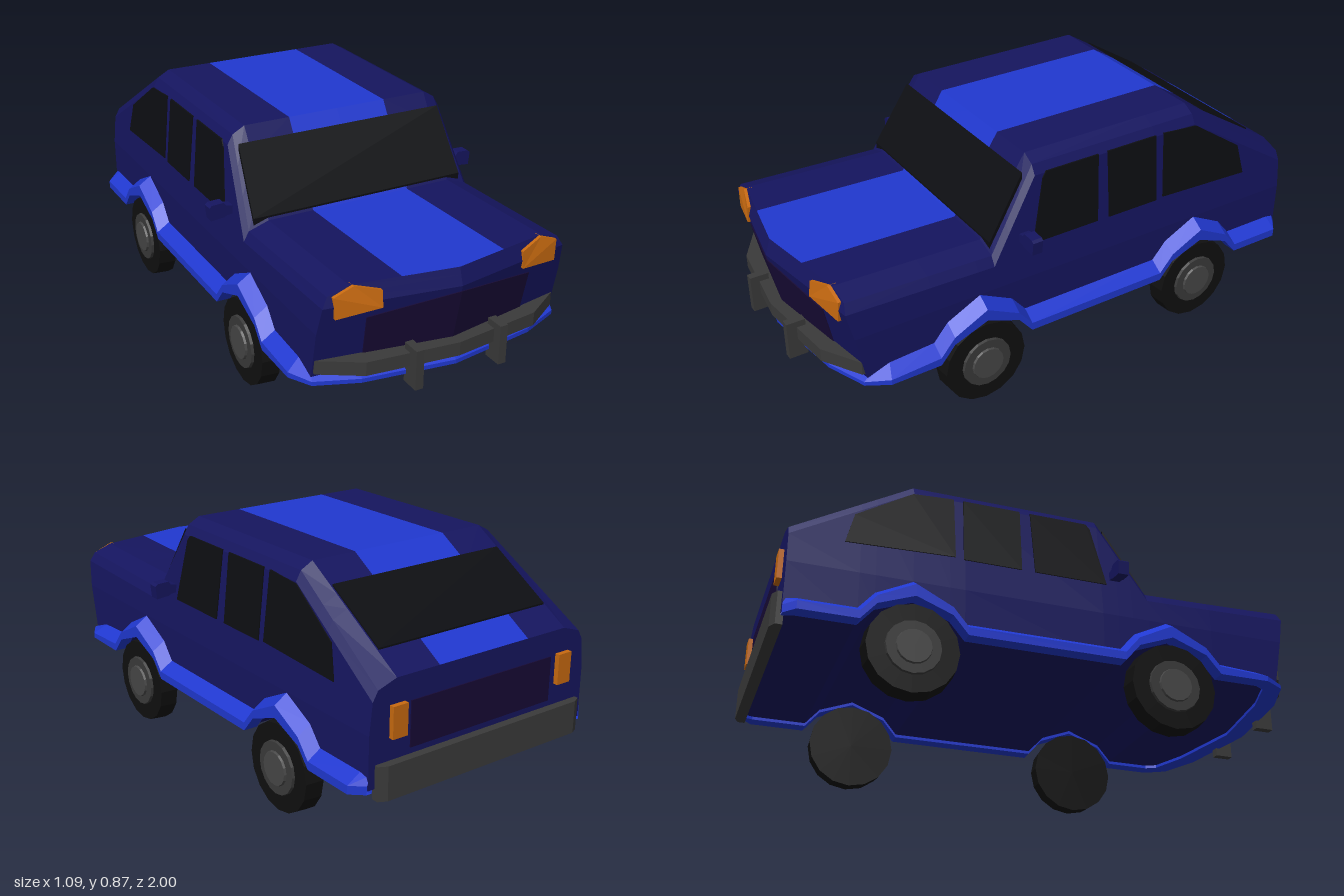
import * as THREE from 'three';

const mat = (color, side = THREE.FrontSide) =>
  new THREE.MeshStandardMaterial({ color, flatShading: true, side });

// Piecewise-linear lookup through [z, value] points sorted from front to back
function along(points, z) {
  if (z >= points[0][0]) return points[0][1];
  for (let i = 1; i < points.length; i++) {
    const [z0, v0] = points[i - 1], [z1, v1] = points[i];
    if (z >= z1) return v0 + (v1 - v0) * (z - z0) / (z1 - z0);
  }
  return points[points.length - 1][1];
}

const WHEELS = [0.405, -0.54];
const REAR = -0.97;
const topLine = [[0.93, 0.59], [0.34, 0.575], [0.16, 0.865], [-0.54, 0.865], [REAR, 0.6]];
// Wheel arch: offset from the axle, lower edge, upper edge of the flare
const arch = [[0.185, 0.235, 0.3], [0.13, 0.3, 0.365], [0, 0.35, 0.43], [-0.13, 0.3, 0.365], [-0.185, 0.235, 0.3]];
const arches = WHEELS.flatMap(z => arch.map(([dz, b, t]) => [z + dz, b, t]));
const bottomLine = arches.map(([z, b]) => [z, b + 0.012]);
const roofY = z => along(topLine, z);
const wallX = y => (y < 0.43 ? 0.475 : 0.475 - (y - 0.43) * 0.105);
// Pointed, raked nose
const noseZ = (x, y) => 0.98 - 0.17 * Math.abs(x) - (y > 0.53 ? 0.33 * (y - 0.53) : 0.2 * (0.53 - y));

function triangles(list) {
  const g = new THREE.BufferGeometry();
  g.setAttribute('position', new THREE.Float32BufferAttribute(list.flat(), 3));
  g.computeVertexNormals();
  return g;
}

// Joins neighbouring sections with quads
function loft(sections, from, to) {
  const out = [];
  for (let j = 0; j + 1 < sections.length; j++)
    for (let i = from; i < to; i++) {
      const n = sections[j].length, k = (i + 1) % n;
      const a = sections[j][i], b = sections[j][k], c = sections[j + 1][k], d = sections[j + 1][i];
      out.push(a, d, c, a, c, b);
    }
  return out;
}

// Mirrors a geometry across x, keeping faces outward
function mirrored(geometry) {
  const g = geometry.index ? geometry.toNonIndexed() : geometry.clone();
  const p = g.attributes.position, pts = [];
  for (let i = 0; i < p.count; i += 3)
    for (const k of [0, 2, 1]) pts.push([-p.getX(i + k), p.getY(i + k), p.getZ(i + k)]);
  return triangles(pts);
}

// Thin solid panel laid on a surface: map takes (u, v, depth) to a point
function panel(points, back, front, map) {
  const shape = new THREE.Shape(points.map(p => new THREE.Vector2(...p)));
  const g = new THREE.ExtrudeGeometry(shape, { depth: front - back, bevelEnabled: false });
  const p = g.attributes.position;
  for (let i = 0; i < p.count; i++) p.setXYZ(i, ...map(p.getX(i), p.getY(i), p.getZ(i) + back));
  g.computeVertexNormals();
  return g;
}
const onTop = (u, v, d) => [u, roofY(-v) + d, -v];
const onSide = (u, v, d) => [wallX(v) + d, v, -u];
const onNose = (u, v, d) => [u, v, noseZ(u, v) + d];
const onRear = (u, v, d) => [-u, v, REAR - d];
const rect = (x0, y0, x1, y1) => [[x0, y0], [x1, y0], [x1, y1], [x0, y1]];

export function createModel() {
  const car = new THREE.Group();
  car.name = 'car';
  const navy = mat(0x15155f), blue = mat(0x2038d0), trim = mat(0x2038d0, THREE.DoubleSide);
  const glass = mat(0x0d0e12), orange = mat(0xc86a10), grey = mat(0x3a3a3a);
  const plum = mat(0x170a35), rubber = mat(0x101010), metal = mat(0x474747);

  const add = (name, geometry, material) => {
    const m = new THREE.Mesh(geometry, material);
    m.name = name;
    car.add(m);
  };
  const addPair = (name, geometry, material) => {
    add(name + 'Left', geometry, material);
    add(name + 'Right', mirrored(geometry), material);
  };

  // Body shell: half sections from the underside centre round to the roof centre
  const stations = [...topLine, ...bottomLine].map(p => p[0]).sort((a, b) => b - a);
  const sections = stations.map((z, j) => {
    const t = roofY(z), b = along(bottomLine, z), s = wallX(t - 0.06);
    const outline = [[0, b], [wallX(b), b], [0.475, 0.43], [s, t - 0.06], [s - 0.02, t - 0.025],
      [0.37, t], [0.195, t], [0, t]];
    return outline.map(([x, y]) => [x, y, j === 0 ? noseZ(x, y) : z]);
  });
  const shell = loft(sections, 0, 6);
  const caps = [sections[0], sections[sections.length - 1]];
  caps.forEach((s, end) => {
    for (let i = 1; i < 5; i++) {
      const A = s[i], B = s[i + 1];
      const a = [0, A[1], end ? REAR : noseZ(0, A[1])], b = [0, B[1], end ? REAR : noseZ(0, B[1])];
      shell.push(...(end ? [a, B, A, a, b, B] : [a, A, B, a, B, b]));
    }
  });
  addPair('body', triangles(shell), navy);
  addPair('stripe', triangles(loft(sections, 6, 7)), blue);

  // Skirt with flared arches, wrapping round the nose: outer x, z, inner x, z, bottom, top
  const skirtPath = [
    [0, 0.968, 0, 0.9, 0.235, 0.285], [0.33, 0.92, 0.31, 0.85, 0.235, 0.285],
    [0.48, 0.86, 0.45, 0.8, 0.235, 0.285], [0.525, 0.78, 0.472, 0.76, 0.235, 0.29],
    ...arches.map(([z, b, t]) => [0.525, z, 0.472, z, b, t]),
    [0.525, -0.93, 0.472, -0.93, 0.235, 0.3], [0.48, REAR, 0.46, REAR, 0.235, 0.3]];
  const skirt = skirtPath.map(([xo, zo, xi, zi, b, t]) =>
    [[xi, b, zi], [xo, b, zo], [xo, t - 0.035, zo], [xi, t, zi]]);
  addPair('skirt', triangles(loft(skirt, 0, 4)), trim);

  // Glass
  add('windshield', panel([[-0.425, -0.335], [0.425, -0.335], [0.41, -0.195], [-0.41, -0.195]], -0.04, 0.007, onTop), glass);
  add('rearWindow', panel(rect(-0.365, 0.64, 0.365, 0.875), -0.01, 0.006, onTop), glass);
  const windows = {
    frontWindow: [[-0.18, 0.555], [0.095, 0.555], [0.105, 0.81], [-0.115, 0.81], [-0.13, 0.79]],
    middleWindow: rect(0.145, 0.555, 0.36, 0.81),
    rearSideWindow: [[0.39, 0.56], [0.78, 0.545], [0.75, 0.665], [0.545, 0.8], [0.395, 0.81]],
  };
  for (const [name, pts] of Object.entries(windows)) addPair(name, panel(pts, -0.01, 0.004, onSide), glass);

  // Nose and tail details
  addPair('grille', panel([[0, 0.3], [0.31, 0.3], [0.315, 0.47], [0, 0.51]], -0.01, 0.004, onNose), plum);
  addPair('headlight', panel([[0.27, 0.505], [0.425, 0.487], [0.43, 0.563], [0.36, 0.59], [0.27, 0.565]], -0.02, 0.012, onNose), orange);
  add('rearPanel', panel(rect(-0.31, 0.35, 0.31, 0.51), -0.01, 0.004, onRear), plum);
  addPair('tailLight', panel(rect(-0.395, 0.405, -0.335, 0.515), -0.01, 0.018, onRear), orange);

  // Bumpers, drawn in plan and extruded upward
  const upright = y => (u, v, d) => [u, y + d, -v];
  addPair('frontBumper', panel([[0, -0.985], [0.33, -0.945], [0.47, -0.86], [0.47, -0.83], [0.42, -0.83],
    [0.31, -0.89], [0, -0.92]], 0, 0.05, upright(0.275)), grey);
  const guard = new THREE.BoxGeometry(0.03, 0.145, 0.07);
  guard.translate(0.163, 0.276, 0.965);
  addPair('bumperGuard', guard, grey);
  add('rearBumper', panel([[-0.45, 0.96], [0.45, 0.96], [0.45, 0.985], [0.42, 1], [-0.42, 1], [-0.45, 0.985]],
    0, 0.12, upright(0.208)), grey);

  // Door mirrors
  addPair('mirror', panel([[0.44, 0.58], [0.48, 0.575], [0.49, 0.57], [0.54, 0.565], [0.545, 0.615],
    [0.535, 0.623], [0.49, 0.625], [0.48, 0.612], [0.44, 0.605]], 0.195, 0.235, (u, v, d) => [u, v, d]), navy);

  // Wheels: cylinders lying along x
  const disc = (r0, r1, x0, x1, z) => new THREE.CylinderGeometry(r1, r0, x1 - x0, 16)
    .rotateZ(-Math.PI / 2).translate((x0 + x1) / 2, 0.165, z);
  WHEELS.forEach((z, i) => {
    const end = i ? 'rear' : 'front';
    addPair(end + 'Tyre', disc(0.165, 0.16, 0.445, 0.512, z), rubber);
    addPair(end + 'Rim', disc(0.1, 0.095, 0.5, 0.522, z), grey);
    addPair(end + 'Hub', disc(0.065, 0.06, 0.515, 0.53, z), metal);
  });
  return car;
}
